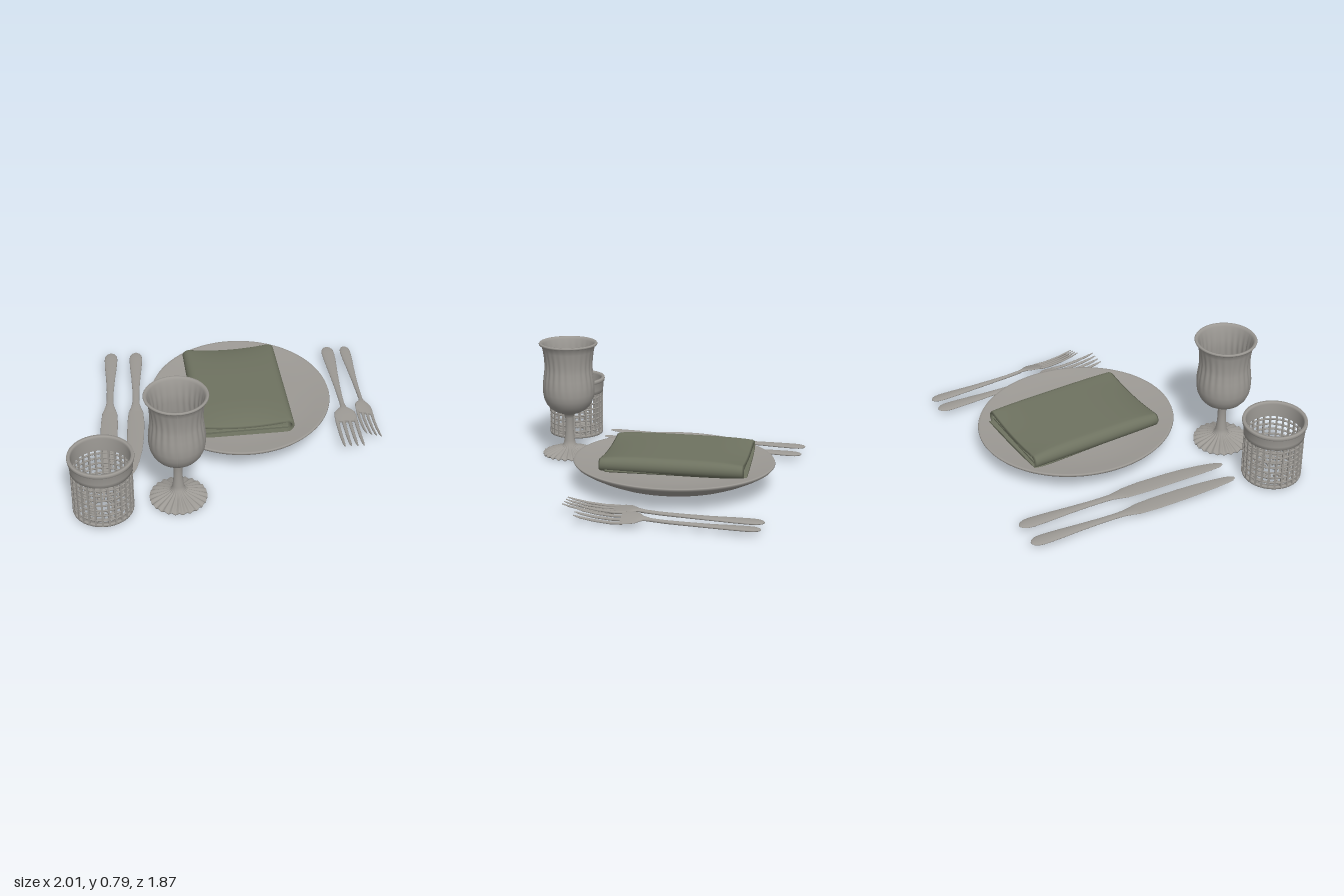
import * as THREE from 'three';

const ware = new THREE.MeshStandardMaterial({ color: 0x9c9994 });
ware.name = 'warm grey';
const cloth = new THREE.MeshStandardMaterial({ color: 0x6e7260 });
cloth.name = 'olive cloth';

function add(parent, name, geometry, material = ware) {
  const mesh = new THREE.Mesh(geometry, material);
  mesh.name = name;
  parent.add(mesh);
  return mesh;
}

function group(parent, name) {
  const g = new THREE.Group();
  g.name = name;
  parent.add(g);
  return g;
}

// Skin a run of equal-length rings (counter-clockwise seen from +z) and cap both ends
function loft(rings) {
  const n = rings[0].length, pos = [], idx = [];
  rings.forEach(r => r.forEach(p => pos.push(...p)));
  for (let i = 0; i < rings.length - 1; i++) for (let j = 0; j < n; j++) {
    const a = i * n + j, b = i * n + (j + 1) % n;
    idx.push(a, b, a + n, b, b + n, a + n);
  }
  [rings[0], rings[rings.length - 1]].forEach((r, end) => {
    const base = pos.length / 3;
    r.forEach(p => pos.push(...p));
    pos.push(...[0, 1, 2].map(k => r.reduce((s, p) => s + p[k], 0) / n));
    for (let j = 0; j < n; j++) {
      const a = base + j, b = base + (j + 1) % n;
      idx.push(base + n, end ? a : b, end ? b : a);
    }
  });
  const g = new THREE.BufferGeometry();
  g.setAttribute('position', new THREE.Float32BufferAttribute(pos, 3));
  g.setIndex(idx);
  g.computeVertexNormals();
  return g;
}

// Oval bar through stations [z, centre x, half width, centre y, half thickness]
function bar(stations, sides = 20) {
  return loft(stations.map(([z, cx, hw, cy, ht]) => Array.from({ length: sides }, (_, j) => {
    const t = j / sides * Math.PI * 2;
    return [cx + hw * Math.cos(t), cy + ht * Math.sin(t), z];
  })));
}

const lathe = (pts, seg = 96) =>
  new THREE.LatheGeometry(pts.map(p => new THREE.Vector2(p[0], p[1])), seg);

// Handle shared by knives and forks, starting at z = 0
const handle = [
  [0, 0, 0.008, 0.042, 0.004], [0.012, 0, 0.027, 0.042, 0.008], [0.04, 0, 0.041, 0.042, 0.011],
  [0.08, 0, 0.045, 0.042, 0.012], [0.18, 0, 0.041, 0.042, 0.012], [0.32, 0, 0.031, 0.042, 0.011],
];

function knife(parent, name, x, lean) {
  const g = group(parent, name);
  g.position.set(x, 0, -0.935);
  add(g, 'knifeHandle', bar([...handle, [0.46, 0, 0.024, 0.041, 0.011], [0.57, 0, 0.023, 0.04, 0.011],
    [0.62, 0, 0.026, 0.04, 0.011], [0.67, 0, 0.037, 0.04, 0.01], [0.71, 0, 0.048, 0.04, 0.008]]));
  add(g, 'knifeBlade', bar([[0.67, 0, 0.037, 0.04, 0.009], [0.72, 0, 0.05, 0.04, 0.008],
    [0.84, 0, 0.057, 0.042, 0.007], [1.02, -lean * 0.1, 0.055, 0.045, 0.007],
    [1.14, -lean * 0.25, 0.05, 0.048, 0.007], [1.25, -lean * 0.55, 0.042, 0.051, 0.006],
    [1.33, -lean * 0.8, 0.032, 0.053, 0.006], [1.375, -lean, 0.022, 0.054, 0.005],
    [1.395, -lean, 0.01, 0.055, 0.004]]));
}

function fork(parent, name, x, yaw, roll, sx, sz) {
  const g = group(parent, name);
  g.position.set(x, 0, -0.935);
  g.rotation.y = yaw;
  g.scale.set(sx, 1, sz);
  add(g, 'forkHandle', bar([...handle, [0.48, 0, 0.022, 0.044, 0.011], [0.62, 0, 0.017, 0.047, 0.011],
    [0.74, 0, 0.016, 0.054, 0.011]]));
  const head = group(g, 'forkHead');
  head.rotation.z = roll;
  head.position.y = 0.057;
  add(head, 'forkNeck', bar([[0.72, 0, 0.016, -0.003, 0.011], [0.76, 0, 0.024, 0.002, 0.01],
    [0.785, 0, 0.046, 0.004, 0.01], [0.81, 0, 0.066, 0.003, 0.009], [0.85, 0, 0.074, 0, 0.009],
    [0.91, 0, 0.074, -0.006, 0.008]]));
  for (let i = -1.5; i <= 1.5; i++) {
    const cx = i * 0.0415;
    add(head, 'forkTine', bar([[0.89, cx, 0.013, -0.005, 0.008], [0.97, cx, 0.012, -0.008, 0.008],
      [1.08, cx, 0.011, 0, 0.007], [1.17, cx, 0.009, 0.014, 0.006], [1.215, cx, 0.004, 0.026, 0.003]], 10));
  }
}

function goblet(parent) {
  const g = group(parent, 'goblet');
  g.position.set(-0.333, 0, 0.628);
  const geo = lathe([
    [0, 0.03], [0.05, 0.026], [0.11, 0.016], [0.165, 0.006], [0.18, 0.006], [0.18, 0.013],
    [0.15, 0.024], [0.12, 0.034], [0.085, 0.046], [0.058, 0.058], [0.042, 0.075], [0.036, 0.1],
    [0.03, 0.15], [0.027, 0.2], [0.028, 0.26], [0.036, 0.288], [0.06, 0.296], [0.095, 0.31],
    [0.128, 0.332], [0.152, 0.362], [0.168, 0.4], [0.175, 0.44], [0.175, 0.49], [0.169, 0.54],
    [0.162, 0.59], [0.16, 0.63], [0.164, 0.68], [0.172, 0.73], [0.181, 0.768], [0.195, 0.772],
    [0.198, 0.78], [0.193, 0.787], [0.182, 0.786], [0.172, 0.77], [0.162, 0.73], [0.153, 0.68],
    [0.148, 0.62], [0.156, 0.54], [0.162, 0.47], [0.156, 0.4], [0.13, 0.35], [0.08, 0.32], [0, 0.312],
  ], 144);
  // Flutes round the bowl and ribs on the foot
  const p = geo.attributes.position;
  for (let i = 0; i < p.count; i++) {
    const x = p.getX(i), y = p.getY(i), z = p.getZ(i), r = Math.hypot(x, z);
    const wave = Math.cos(24 * Math.atan2(x, z));
    if (y > 0.45 && y < 0.75) {
      const k = 1 + 0.018 * wave * Math.sin((y - 0.45) / 0.3 * Math.PI);
      p.setX(i, x * k);
      p.setZ(i, z * k);
    } else if (y < 0.07) p.setY(i, y + 0.006 * wave * Math.min(1, r / 0.12));
  }
  geo.computeVertexNormals();
  add(g, 'gobletBody', geo);
}

function latticeTumbler(parent) {
  const g = group(parent, 'latticeTumbler');
  g.position.set(-0.797, 0, 0.727);
  add(g, 'tumblerCollar', lathe([[0.178, 0.325], [0.191, 0.325], [0.193, 0.35], [0.196, 0.4],
    [0.203, 0.405], [0.205, 0.418], [0.202, 0.43], [0.186, 0.43], [0.18, 0.415], [0.178, 0.325]], 64));
  add(g, 'tumblerBase', lathe([[0.165, 0.02], [0.187, 0.02], [0.19, 0.03], [0.188, 0.04],
    [0.165, 0.04], [0.165, 0.02]], 64));
  const ring = (r, y) => {
    const m = add(g, 'latticeRing', new THREE.TorusGeometry(r, 0.0065, 6, 56));
    m.rotation.x = Math.PI / 2;
    m.position.y = y;
  };
  for (let i = 1; i < 8; i++) ring(0.184, 0.03 + i * 0.0385);
  [0.09, 0.13].forEach(r => ring(r, 0.03));
  const bars = 28;
  for (let i = 0; i < bars; i++) {
    const arm = group(g, 'latticeSpoke');
    arm.rotation.y = i / bars * Math.PI * 2;
    add(arm, 'latticeUpright', new THREE.BoxGeometry(0.012, 0.31, 0.012)).position.set(0, 0.18, 0.184);
    // Spokes in the floor, every other one reaching toward the middle
    if (i % 2 === 0)
      add(arm, 'floorSpoke', new THREE.BoxGeometry(0.012, 0.012, 0.12)).position.set(0, 0.03, 0.112);
  }
}

// Flattened tube section, sagging along its top
function foldRing(w, h, cy, z, sag) {
  const pts = [], side = 10, flat = 16;
  for (let i = 0; i <= side; i++) {
    const t = -Math.PI / 2 + i / side * Math.PI;
    pts.push([w - h + h * Math.cos(t), cy + h * Math.sin(t), z]);
  }
  for (let i = 1; i < flat; i++) pts.push([(w - h) * (1 - 2 * i / flat), cy + h, z]);
  const right = pts.slice(0, side + 1).reverse().map(([x, y]) => [-x, y, z]);
  pts.push(...right);
  for (let i = 1; i < flat; i++) pts.push([(w - h) * (2 * i / flat - 1), cy - h, z]);
  return pts.map(([x, y]) => [x, y > cy ? y - sag * (1 - (x / w) ** 2) : y, z]);
}

function napkin(parent) {
  const g = group(parent, 'napkin');
  g.position.set(0.083, 0, -0.245);
  g.rotation.y = 0.075;
  // Hollow roll: the skin turns back inside at both ends
  const rings = [];
  const lip = s => [foldRing(0.295, 0.03, 0.19, s * 0.3, 0.02), foldRing(0.298, 0.031, 0.19, s * 0.44, 0.027),
    foldRing(0.308, 0.04, 0.19, s * 0.458, 0.027)];
  rings.push(...lip(-1));
  for (let i = -12; i <= 12; i++) {
    const t = i / 12, end = Math.abs(t) ** 4;
    rings.push(foldRing(0.318, 0.054 - 0.007 * end, 0.193 - 0.001 * end, t * 0.445, 0.028 * end));
  }
  rings.push(...lip(1).reverse());
  add(g, 'outerFold', loft(rings), cloth);
  const inner = [-0.445, -0.43, 0, 0.43, 0.445].map((z, i) =>
    foldRing(i % 4 ? 0.285 : 0.28, i % 4 ? 0.012 : 0.006, 0.176, z, 0));
  add(g, 'innerFold', loft(inner), cloth);
  const under = add(g, 'underFold', loft([-0.455, 0, 0.44].map(z => foldRing(0.3, 0.01, 0.156, z, 0))), cloth);
  under.rotation.y = 0.03;
  under.position.z = -0.012;
}

export function createModel() {
  const model = new THREE.Group();
  model.name = 'placeSetting';

  // Oval plate
  const plate = add(model, 'plate', lathe([[0, 0.044], [0.3, 0.045], [0.38, 0.05], [0.44, 0.066],
    [0.5, 0.093], [0.56, 0.126], [0.592, 0.148], [0.601, 0.16], [0.598, 0.167], [0.585, 0.167],
    [0.52, 0.156], [0.44, 0.147], [0.34, 0.142], [0, 0.14]], 128));
  plate.position.set(0.102, 0, -0.22);
  plate.scale.z = 1.08;

  napkin(model);
  goblet(model);
  latticeTumbler(model);
  knife(model, 'outerKnife', -0.773, 0.012);
  knife(model, 'innerKnife', -0.597, 0.032);
  fork(model, 'innerFork', 0.773, 0.036, 0, 1, 1);
  fork(model, 'outerFork', 0.897, 0.052, -0.25, 0.82, 0.91);
  return model;
}
